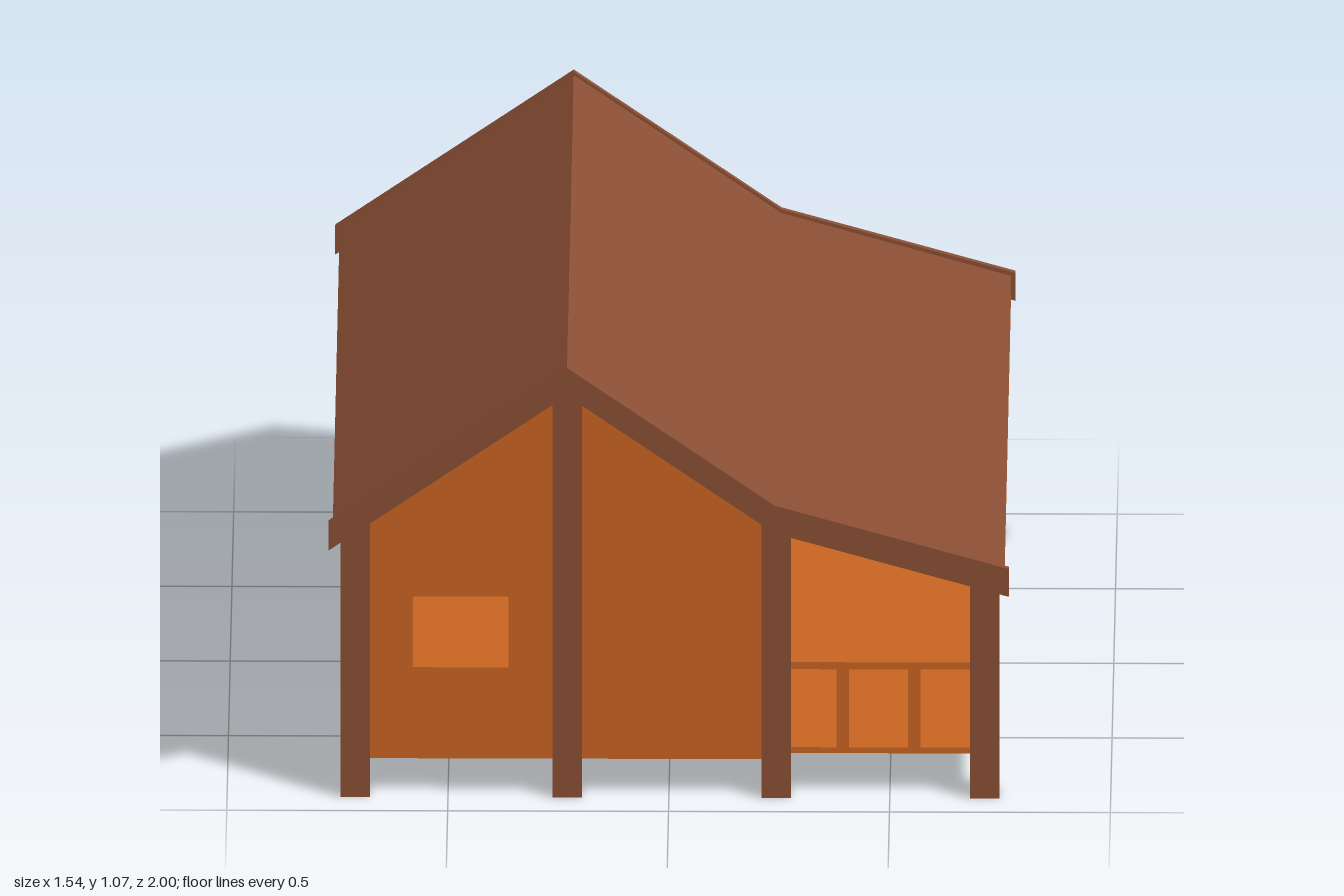
import * as THREE from 'three';

const brown = new THREE.MeshStandardMaterial({ color: 0x8b4f35 });
brown.name = 'brown timber';
const orange = new THREE.MeshStandardMaterial({ color: 0xca6521 });
orange.name = 'orange wood';

// Top line of the roof, from the left eave over the ridge to the porch eave
const ROOF = [[-0.76, 0.69], [-0.23, 1.058], [0.24, 0.728], [0.76, 0.578]];
const FASCIA = [[-0.77, 0.692], [-0.23, 1.066], [0.24, 0.736], [0.77, 0.585]];
const SLAB = 0.037;
const POST = 0.066;
const POST_X = [-0.71, -0.23, 0.243, 0.715];
const POST_Z = 0.875;
const WALL = 0.026;

function roofY(x) {
  let i = 0;
  while (i < ROOF.length - 2 && x > ROOF[i + 1][0]) i++;
  const [[x0, y0], [x1, y1]] = [ROOF[i], ROOF[i + 1]];
  return y0 + ((x - x0) / (x1 - x0)) * (y1 - y0);
}

const shapeOf = (pts) => new THREE.Shape(pts.map(([x, y]) => new THREE.Vector2(x, y)));

// Extrusion centred on its own depth
function slab(shape, depth) {
  return new THREE.ExtrudeGeometry(shape, { depth, bevelEnabled: false }).translate(0, 0, -depth / 2);
}

// Band that hangs below a roof line
function band(line, top, bottom) {
  return shapeOf([
    ...line.map(([x, y]) => [x, y - top]),
    ...[...line].reverse().map(([x, y]) => [x, y - bottom]),
  ]);
}

// Outline from y0 up to the underside of the roof
function underRoof(x0, x1, y0) {
  const xs = [x0, ...ROOF.map((p) => p[0]).filter((x) => x > x0 && x < x1), x1];
  return shapeOf([[x0, y0], [x1, y0], ...xs.reverse().map((x) => [x, roofY(x) - SLAB + 0.004])]);
}

function opening(shape, x0, x1, y0, y1) {
  const hole = new THREE.Path();
  hole.moveTo(x0, y0).lineTo(x0, y1).lineTo(x1, y1).lineTo(x1, y0).closePath();
  shape.holes.push(hole);
}

export function createModel() {
  const model = new THREE.Group();

  const add = (name, geometry, material, x = 0, y = 0, z = 0) => {
    const mesh = new THREE.Mesh(geometry, material);
    mesh.name = name;
    mesh.position.set(x, y, z);
    model.add(mesh);
    return mesh;
  };
  const box = (name, material, x0, x1, y0, y1, z0, z1) =>
    add(name, new THREE.BoxGeometry(x1 - x0, y1 - y0, z1 - z0), material,
      (x0 + x1) / 2, (y0 + y1) / 2, (z0 + z1) / 2);

  // Roof: brown covering over orange boards
  add('roofCovering', slab(band(ROOF, 0, 0.006), 1.97), brown);
  add('roofBoards', slab(band(ROOF, 0.006, SLAB), 1.97), orange);

  // Floors: the porch sits slightly higher than the house floor
  box('houseFloor', orange, -0.715, 0.25, 0.085, 0.105, -0.885, 0.885);
  box('porchFloor', orange, 0.25, 0.73, 0.1, 0.114, -0.885, 0.885);

  for (const s of [1, -1]) {
    const end = s > 0 ? 'front' : 'back';
    add(end + 'Fascia', slab(band(FASCIA, 0, 0.067), 0.016), brown, 0, 0, s * 0.992);

    // Posts with tops cut to the roof slope
    for (const x of POST_X) {
      add(end + 'Post', slab(underRoof(x - POST / 2, x + POST / 2, 0), POST), brown, 0, 0, s * POST_Z);
    }

    // Gable wall, with a window at the front only
    const gable = underRoof(-0.71, 0.243, 0.088);
    if (s > 0) opening(gable, -0.58, -0.363, 0.305, 0.475);
    add(end + 'Wall', slab(gable, WALL), orange, 0, 0, s * POST_Z);

    // Porch end railing
    box(end + 'Rail', orange, 0.27, 0.69, 0.303, 0.32, s * POST_Z - 0.014, s * POST_Z + 0.014);
    for (const x of [0.393, 0.555]) {
      box(end + 'Baluster', orange, x - 0.014, x + 0.014, 0.11, 0.305, s * POST_Z - 0.012, s * POST_Z + 0.012);
    }
  }

  // Closed long wall
  box('leftLongWall', orange, -0.71 - WALL / 2, -0.71 + WALL / 2, 0.088, roofY(-0.71) - SLAB, -POST_Z, POST_Z);

  // Porch wall with a doorway and two windows, drawn along -z
  const porchWall = shapeOf([
    [-POST_Z, 0.088], [-0.17, 0.088], [-0.17, 0.58], [0, 0.58], [0, 0.088],
    [POST_Z, 0.088], [POST_Z, 0.692], [-POST_Z, 0.692],
  ]);
  opening(porchWall, -0.74, -0.345, 0.3, 0.495);
  opening(porchWall, 0.27, 0.625, 0.3, 0.495);
  add('porchWall', slab(porchWall, WALL).rotateY(Math.PI / 2), orange, 0.243);

  // Long porch railing, with a gap at the doorway
  for (const [z0, z1] of [[0.168, 0.86], [-0.86, -0.005]]) {
    box('porchRail', orange, 0.702, 0.73, 0.303, 0.32, z0, z1);
  }
  for (const z of [0.69, 0.47, 0.185, -0.03, -0.325, -0.595]) {
    box('porchBaluster', orange, 0.704, 0.728, 0.11, 0.305, z - 0.013, z + 0.013);
  }

  return model;
}
